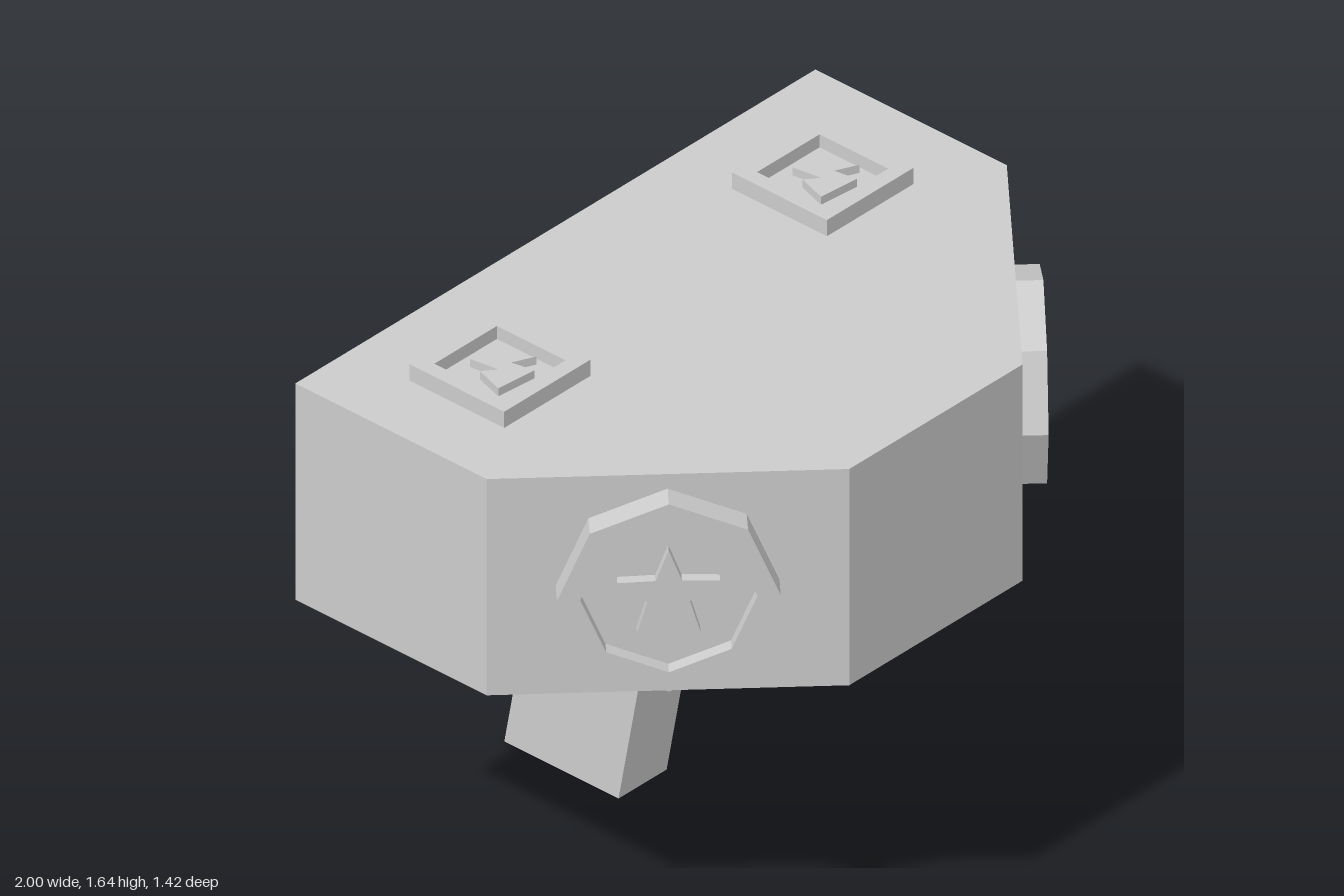
import * as THREE from 'three';

const grey = new THREE.MeshStandardMaterial({ color: 0xcccccc, flatShading: true });

const toShape = pts => new THREE.Shape(pts.map(([x, y]) => new THREE.Vector2(x, y)));

const polygon = (sides, r, start = 0, inner = r) => Array.from({ length: sides }, (_, i) => {
  const a = start + (i / sides) * Math.PI * 2;
  const rad = i % 2 ? inner : r;
  return [Math.cos(a) * rad, Math.sin(a) * rad];
});

function slab(name, pts, depth, hole) {
  const shape = toShape(pts);
  if (hole) shape.holes.push(new THREE.Path(toShape(hole).getPoints()));
  const mesh = new THREE.Mesh(new THREE.ExtrudeGeometry(shape, { depth, bevelEnabled: false }), grey);
  mesh.name = name;
  return mesh;
}

// Raised frame with a sunken floor and a raised emblem, facing +z
function plaque(name, outer, inner, emblem, height, floor, emblemTop) {
  const group = new THREE.Group();
  group.name = name;
  const raised = slab(name + 'Emblem', emblem, emblemTop - floor);
  raised.position.z = floor;
  group.add(slab(name + 'Frame', outer, height, inner), slab(name + 'Floor', inner, floor), raised);
  return group;
}

export function createModel() {
  const model = new THREE.Group();
  model.name = 'hammer';

  // Head: six-sided block with chamfered front corners
  const head = slab('head', [
    [-1, 0.62], [-1, -0.05], [-0.333, -0.712], [0.333, -0.712], [1, -0.05], [1, 0.62],
  ], 0.67);
  head.rotation.x = -Math.PI / 2;
  head.position.y = 0.92;
  model.add(head);

  // Handle: box sheared toward the back at its foot
  const handleGeo = new THREE.BoxGeometry(0.185, 0.93, 0.4);
  const p = handleGeo.attributes.position;
  for (let i = 0; i < p.count; i++) p.setZ(i, p.getZ(i) + p.getY(i) * 0.187);
  handleGeo.computeVertexNormals();
  const handle = new THREE.Mesh(handleGeo, grey);
  handle.name = 'handle';
  handle.position.set(-0.003, 0.465, -0.425);
  model.add(handle);

  // Octagonal star badges on the chamfers, one star inverted
  for (const side of [-1, 1]) {
    const star = polygon(10, 0.14, -side * Math.PI / 2, 0.058);
    const badge = plaque(side > 0 ? 'leftBadge' : 'rightBadge',
      polygon(8, 0.29), polygon(8, 0.23), star, 0.075, 0.035, 0.065);
    badge.position.set(side * 0.667, side > 0 ? 1.25 : 1.255, 0.38);
    badge.rotation.y = side * Math.PI / 4;
    model.add(badge);
  }

  // Square bolt plates on top
  const square = h => [[-h, -h], [h, -h], [h, h], [-h, h]];
  const bolt = [
    [-0.025, 0.083], [-0.012, -0.005], [-0.05, 0.025], [-0.078, -0.065],
    [0.048, -0.077], [0.035, -0.008], [0.1, -0.037],
  ];
  for (const [name, x, z] of [['rightPlate', -0.625, -0.245], ['leftPlate', 0.605, -0.235]]) {
    const plate = plaque(name, square(0.166), square(0.12), bolt, 0.05, 0.01, 0.035);
    plate.rotation.x = -Math.PI / 2;
    plate.position.set(x, 1.59, z);
    model.add(plate);
  }

  return model;
}
